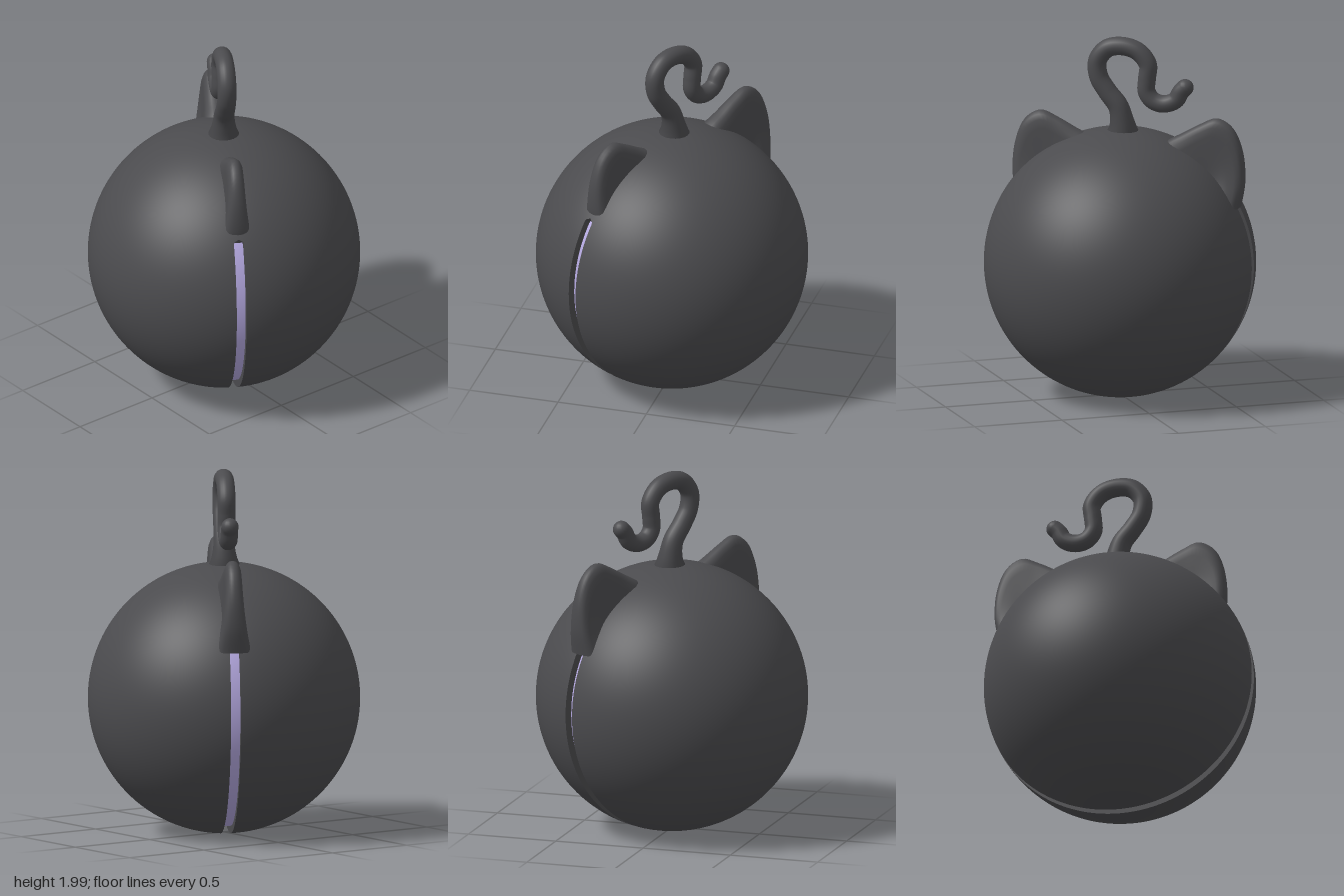
import * as THREE from 'three';

const R = 0.74, CORE = 0.70, CENTRE_Y = 0.745, SLOT = 0.027;
const rad = THREE.MathUtils.degToRad;

// Indexed surface over (rows + 1) x (cols + 1) points given by fn(row, col)
function grid(rows, cols, fn, flip) {
  const pos = [], idx = [];
  for (let i = 0; i <= rows; i++)
    for (let j = 0; j <= cols; j++) pos.push(...fn(i, j));
  for (let i = 0; i < rows; i++)
    for (let j = 0; j < cols; j++) {
      const a = i * (cols + 1) + j, b = a + cols + 1;
      if (flip) idx.push(a, b + 1, b, a, a + 1, b + 1);
      else idx.push(a, b, b + 1, a, b + 1, a + 1);
    }
  const g = new THREE.BufferGeometry();
  g.setAttribute('position', new THREE.Float32BufferAttribute(pos, 3));
  g.setIndex(idx);
  g.computeVertexNormals();
  return g;
}

// Slot runs from one side, under the ball, up the other side
const START = rad(-215), END = rad(35), SLOT_SEGS = 240, REST_SEGS = 60;
const slotAngle = (j) => j <= SLOT_SEGS
  ? START + (END - START) * j / SLOT_SEGS
  : END + rad(110) * (j - SLOT_SEGS) / REST_SEGS;

// Half width of the slot, with rounded ends
function slotHalf(j) {
  if (j >= SLOT_SEGS) return 0;
  const a = slotAngle(j);
  const d = Math.min(a - START, END - a) * R;
  return d >= SLOT ? SLOT : SLOT * Math.sqrt(Math.max(0, 1 - (1 - d / SLOT) ** 2));
}

// Half of the ball, ending at the slot edge
function shell(side) {
  const rows = 32;
  const g = grid(rows, SLOT_SEGS + REST_SEGS, (i, j) => {
    const th = Math.acos(slotHalf(j) / R) * i / rows, a = slotAngle(j);
    return [R * Math.sin(th) * Math.cos(a), R * Math.sin(th) * Math.sin(a), side * R * Math.cos(th)];
  }, side < 0);
  g.setAttribute('normal', g.attributes.position.clone());
  g.normalizeNormals();
  return g;
}

// Side wall of the slot
function wall(side) {
  return grid(1, SLOT_SEGS, (i, j) => {
    const h = slotHalf(j), a = slotAngle(j);
    const r = i ? CORE - 0.01 : Math.sqrt(R * R - h * h);
    return [r * Math.cos(a), r * Math.sin(a), side * h];
  }, side < 0);
}

// Ear: a rounded rim filled down to a point inside the ball
function ear(side) {
  const rim = new THREE.SplineCurve([
    [0.62, 1.08], [0.645, 1.22], [0.635, 1.38], [0.585, 1.51], [0.495, 1.57],
    [0.40, 1.535], [0.30, 1.48], [0.21, 1.43], [0.12, 1.34],
  ].map(([x, y]) => new THREE.Vector2(x, y)));
  const half = [[0, 1.25], [0.4, 1.1], [0.65, 0.95], [0.8, 0.9], [0.9, 0.82], [0.96, 0.6], [0.99, 0.32]];
  const profile = [...half, [1, 0], ...half.map(([k, z]) => [k, -z]).reverse()];
  const steps = 40;
  return grid(steps, profile.length - 1, (i, j) => {
    const t = i / steps, p = rim.getPointAt(t), [k, z] = profile[j];
    const w = 0.052 + 0.05 * (2 * t - 1) ** 2;
    const x = 0.40 + (p.x - 0.40) * k, y = 1.1 + (p.y - 1.1) * k;
    return [side * x - 0.05, y, z * w];
  }, side > 0);
}

// Curly tail, flared where it leaves the ball
function tail() {
  const path = new THREE.CatmullRomCurve3([
    [-0.015, 1.42], [-0.012, 1.52], [0.01, 1.61], [0.07, 1.69], [0.118, 1.77], [0.125, 1.86],
    [0.07, 1.93], [-0.015, 1.946], [-0.10, 1.92], [-0.155, 1.85], [-0.15, 1.77], [-0.148, 1.70],
    [-0.185, 1.65], [-0.245, 1.635], [-0.31, 1.66], [-0.34, 1.71], [-0.362, 1.732],
  ].map(([x, y]) => new THREE.Vector3(x, y, 0)));
  const segs = 120, sides = 20;
  const g = new THREE.TubeGeometry(path, segs, 1, sides);
  const p = g.attributes.position, v = new THREE.Vector3();
  const radius = (t) => 0.054 - 0.007 * t + 0.085 * Math.exp(-22 * t);
  for (let i = 0; i <= segs; i++) {
    const c = path.getPointAt(i / segs);
    for (let j = 0; j <= sides; j++) {
      const n = i * (sides + 1) + j;
      v.fromBufferAttribute(p, n).sub(c).multiplyScalar(radius(i / segs)).add(c);
      p.setXYZ(n, v.x, v.y, v.z);
    }
  }
  return { geometry: g, tip: path.getPointAt(1), tipRadius: radius(1) };
}

export function createModel() {
  const charcoal = new THREE.MeshStandardMaterial({ color: 0x4b4b4e, side: THREE.DoubleSide });
  charcoal.name = 'charcoal';
  const lavender = new THREE.MeshStandardMaterial({ color: 0xb4a8e0 });
  lavender.name = 'lavender';

  const model = new THREE.Group();
  model.name = 'earedBall';
  const add = (name, geometry, material, x = 0, y = 0) => {
    const m = new THREE.Mesh(geometry, material);
    m.name = name;
    m.position.set(x, y, 0);
    model.add(m);
  };

  for (const [side, label] of [[1, 'front'], [-1, 'back']]) {
    add(label + 'Shell', shell(side), charcoal, 0, CENTRE_Y);
    add(label + 'SlotWall', wall(side), charcoal, 0, CENTRE_Y);
  }
  add('glowingCore', new THREE.SphereGeometry(CORE, 96, 64), lavender, 0, CENTRE_Y);

  add('leftEar', ear(1), charcoal);
  add('rightEar', ear(-1), charcoal);

  const t = tail();
  add('tail', t.geometry, charcoal);
  add('tailTip', new THREE.SphereGeometry(t.tipRadius, 20, 14), charcoal, t.tip.x, t.tip.y);

  // The ears, tail and slot share one plane, turned about the vertical
  model.rotation.y = rad(-31);
  const root = new THREE.Group();
  root.name = 'model';
  root.add(model);
  return root;
}
